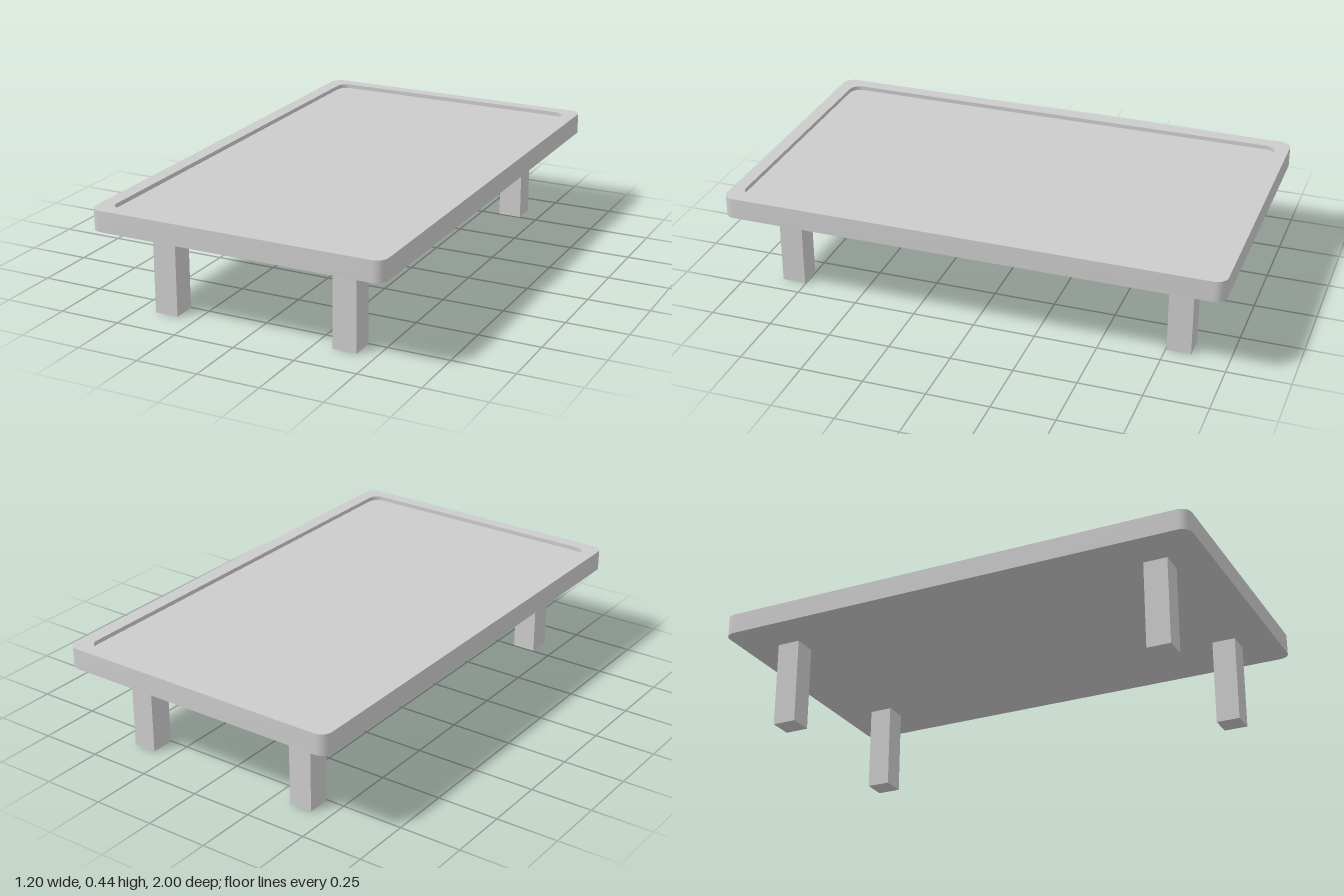
import * as THREE from 'three';
import { toCreasedNormals } from 'three/addons/utils/BufferGeometryUtils.js';

const CORNER_STEPS = 8;

// Rounded rectangle in the XZ plane at height y
function roundedRing(halfX, halfZ, radius, y) {
  const points = [];
  const signs = [[1, 1], [-1, 1], [-1, -1], [1, -1]];
  signs.forEach(([sx, sz], corner) => {
    for (let i = 0; i <= CORNER_STEPS; i++) {
      const a = (corner + i / CORNER_STEPS) * Math.PI / 2;
      points.push([
        sx * (halfX - radius) + radius * Math.cos(a),
        y,
        sz * (halfZ - radius) + radius * Math.sin(a),
      ]);
    }
  });
  return points;
}

// Skin a stack of rings, closing the first and last with a fan
function skinRings(rings) {
  const n = rings[0].length;
  const last = rings.length - 1;
  const vertices = rings.flat();
  const start = vertices.push([0, rings[0][0][1], 0]) - 1;
  const end = vertices.push([0, rings[last][0][1], 0]) - 1;
  const index = [];
  for (let i = 0; i < n; i++) {
    const j = (i + 1) % n;
    index.push(start, i, j);
    for (let r = 0; r < last; r++) {
      const a = r * n + i, b = r * n + j;
      index.push(a, a + n, b, b, a + n, b + n);
    }
    index.push(last * n + i, end, last * n + j);
  }
  const geometry = new THREE.BufferGeometry();
  geometry.setAttribute('position', new THREE.Float32BufferAttribute(vertices.flat(), 3));
  geometry.setIndex(index);
  return toCreasedNormals(geometry, 0.6);
}

export function createModel() {
  const group = new THREE.Group();
  group.name = 'lowTable';
  const material = new THREE.MeshStandardMaterial({ color: 0xcccccc });

  const underside = 0.353, top = 0.437, trayFloor = 0.42;

  // Table top: rounded slab with a shallow recess inside a raised rim
  const tableTop = new THREE.Mesh(skinRings([
    roundedRing(0.6, 1, 0.045, underside),
    roundedRing(0.6, 1, 0.045, top),
    roundedRing(0.543, 0.946, 0.045, top),
    roundedRing(0.543, 0.946, 0.045, trayFloor),
  ]), material);
  tableTop.name = 'tableTop';
  group.add(tableTop);

  // Four square legs
  const legGeometry = new THREE.BoxGeometry(0.096, underside, 0.096);
  for (const [side, sx] of [['Left', 1], ['Right', -1]]) {
    for (const [end, sz] of [['front', 1], ['back', -1]]) {
      const leg = new THREE.Mesh(legGeometry, material);
      leg.name = `${end}${side}Leg`;
      leg.position.set(sx * 0.377, underside / 2, sz * 0.802);
      group.add(leg);
    }
  }
  return group;
}
